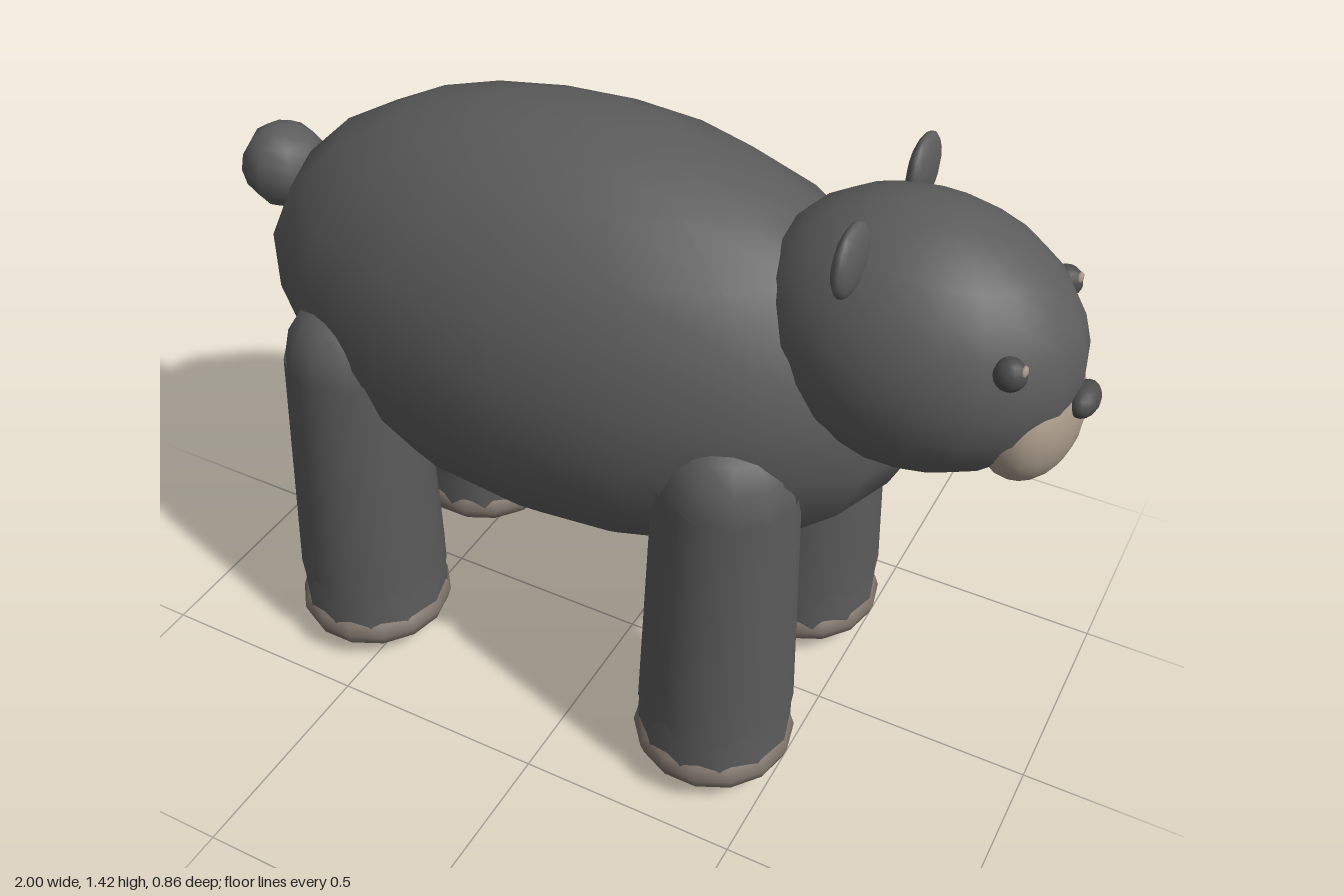
import * as THREE from 'three';

const material = (name, color, extra = {}) => {
  const m = new THREE.MeshStandardMaterial({ color, ...extra });
  m.name = name;
  return m;
};

export function createModel() {
  const bear = new THREE.Group();
  bear.name = 'bear';
  const fur = material('fur grey', 0x5c5c5c);
  const shag = material('leg fur grey', 0x5a5a5a, { side: THREE.DoubleSide });
  const dark = material('nose and eye grey', 0x4c4c4c);
  const tan = material('muzzle tan', 0xa59787);
  const paw = material('paw taupe', 0x7f746b);

  // Ellipsoid helper: centre, radii, segment counts
  function ellipsoid(name, mat, center, radii, w = 16, h = 11, parent = bear) {
    const mesh = new THREE.Mesh(new THREE.SphereGeometry(1, w, h).scale(...radii), mat);
    mesh.name = name;
    mesh.position.set(...center);
    parent.add(mesh);
    return mesh;
  }

  // Body, head and tail
  ellipsoid('body', fur, [-0.11, 0.915, 0], [0.785, 0.485, 0.415]);
  ellipsoid('head', fur, [0.625, 1.12, 0], [0.335, 0.28, 0.262], 20, 14).rotation.z = -0.12;
  ellipsoid('tail', fur, [-0.9, 1.065, 0], [0.1, 0.1, 0.1], 8, 8);

  // Face
  ellipsoid('muzzle', tan, [0.87, 1.01, 0], [0.1, 0.135, 0.155], 20, 14);
  ellipsoid('nose', dark, [0.965, 1.07, 0], [0.03, 0.032, 0.05], 14, 10);
  for (const [side, s] of [['left', -1], ['right', 1]]) {
    ellipsoid(side + 'Ear', fur, [0.543, 1.357, s * 0.185], [0.024, 0.074, 0.075], 14, 10);
    ellipsoid(side + 'Eye', dark, [0.857, 1.202, s * 0.17], [0.033, 0.034, 0.03], 12, 10);
    ellipsoid(side + 'EyeGlint', tan, [0.882, 1.216, s * 0.17], [0.007, 0.012, 0.014], 8, 6);
  }

  // Tapered leg with a domed top
  const profile = [[0.172, 0.1], [0.172, 0.14], [0.165, 0.32], [0.149, 0.8],
    [0.136, 0.86], [0.105, 0.91], [0.058, 0.94], [0, 0.95]];
  const sides = 12;
  const legGeometry = new THREE.LatheGeometry(profile.map(p => new THREE.Vector2(...p)), sides);

  // Shaggy sleeve over the leg with zigzag hems
  const sleeveGeometry = new THREE.CylinderGeometry(0.152, 0.173, 0.6, sides * 2, 1, true);
  sleeveGeometry.translate(0, 0.5, 0);
  const pos = sleeveGeometry.attributes.position;
  for (let i = 0; i < pos.count; i++) {
    const tooth = (i % (sides * 2 + 1)) % 2 ? 1 : -1;
    pos.setY(i, pos.getY(i) + tooth * (pos.getY(i) > 0.5 ? 0.008 : 0.022));
  }

  for (const [row, x] of [['front', 0.345], ['back', -0.575]]) {
    for (const [side, s] of [['Left', -1], ['Right', 1]]) {
      const leg = new THREE.Group();
      leg.name = row + side + 'Leg';
      leg.position.set(x, 0, s * 0.255);
      // Legs lean slightly inward towards the top
      const upper = new THREE.Group();
      upper.name = 'upperLeg';
      upper.rotation.x = -s * 0.02;
      const core = new THREE.Mesh(legGeometry, fur);
      core.name = 'legCore';
      const sleeve = new THREE.Mesh(sleeveGeometry, shag);
      sleeve.name = 'legFur';
      upper.add(core, sleeve);
      leg.add(upper);
      ellipsoid('paw', paw, [0, 0.092, 0], [0.181, 0.086, 0.181], 14, 10, leg);
      bear.add(leg);
    }
  }
  return bear;
}
